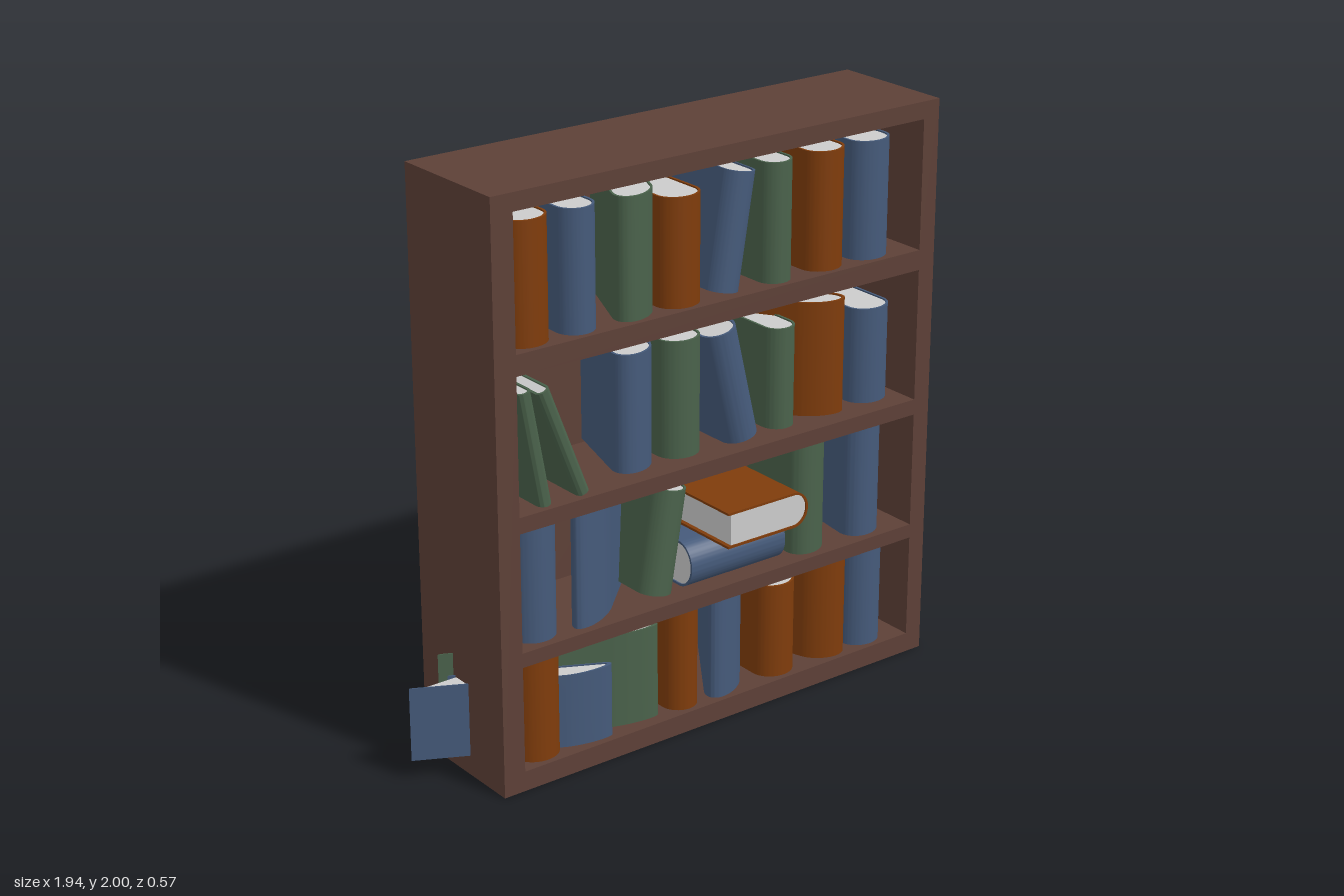
import * as THREE from 'three';
import { toCreasedNormals } from 'three/addons/utils/BufferGeometryUtils.js';

const material = (color) => new THREE.MeshStandardMaterial({ color, side: THREE.DoubleSide });
const wood = material(0x5d4037);
const paper = material(0xcccccc);
const cloth = { orange: material(0x7f3c0b), blue: material(0x455a7a), green: material(0x4a624b) };

// Extrudes a plan outline upward; lean slides the fore-edge sideways.
function upright(shape, height, lean, depth) {
  const geo = new THREE.ExtrudeGeometry(shape, { depth: height, bevelEnabled: false, curveSegments: 20 });
  geo.rotateX(-Math.PI / 2);
  const p = geo.attributes.position;
  for (let i = 0; i < p.count; i++) p.setX(i, p.getX(i) - p.getZ(i) * lean / depth);
  return toCreasedNormals(geo, 0.6);
}

// Book with round spine facing +z; origin at the bottom centre of the spine.
function book(color, w, h, { d = 0.34, bulge = Math.min(0.07, w / 2), lean = 0 } = {}) {
  const t = Math.min(0.008, w / 6);
  const group = new THREE.Group();
  group.name = 'book';

  const cover = new THREE.Shape();
  cover.moveTo(-w / 2, d);
  cover.lineTo(-w / 2, bulge);
  cover.absellipse(0, bulge, w / 2, bulge, Math.PI, 2 * Math.PI, false);
  cover.lineTo(w / 2, d);
  cover.lineTo(w / 2 - t, d);
  cover.lineTo(w / 2 - t, bulge);
  cover.absellipse(0, bulge, w / 2 - t, bulge - t, 2 * Math.PI, Math.PI, true);
  cover.lineTo(-w / 2 + t, d);
  const coverMesh = new THREE.Mesh(upright(cover, h, lean, d), cloth[color]);
  coverMesh.name = 'cover';

  const pages = new THREE.Shape();
  pages.moveTo(-w / 2 + t, d - 0.015);
  pages.lineTo(-w / 2 + t, bulge);
  pages.absellipse(0, bulge, w / 2 - t, bulge - t, Math.PI, 2 * Math.PI, false);
  pages.lineTo(w / 2 - t, d - 0.015);
  const pagesMesh = new THREE.Mesh(upright(pages, h - 0.01, lean, d), paper);
  pagesMesh.name = 'pages';
  pagesMesh.position.y = 0.005;

  group.add(coverMesh, pagesMesh);
  return group;
}

function rect(path, x0, x1, y0, y1) {
  path.moveTo(x0, y0);
  path.lineTo(x1, y0);
  path.lineTo(x1, y1);
  path.lineTo(x0, y1);
  path.closePath();
  return path;
}

function bookcase() {
  const group = new THREE.Group();
  group.name = 'bookcase';
  // Frame with four shelf openings
  const frame = rect(new THREE.Shape(), -0.805, 0.97, 0, 2);
  for (const [y0, y1] of [[0.07, 0.44], [0.49, 0.9], [0.955, 1.42], [1.49, 1.94]])
    frame.holes.push(rect(new THREE.Path(), -0.725, 0.905, y0, y1));
  const frameMesh = new THREE.Mesh(
    new THREE.ExtrudeGeometry(frame, { depth: 0.38, bevelEnabled: false }), wood);
  frameMesh.position.z = -0.205;
  frameMesh.name = 'frameAndShelves';
  // Back panel
  const back = new THREE.Mesh(new THREE.BoxGeometry(1.775, 2, 0.08), wood);
  back.position.set(0.0825, 1, -0.245);
  back.name = 'backPanel';
  group.add(frameMesh, back);
  return group;
}

export function createModel() {
  const model = new THREE.Group();
  model.name = 'filledBookcase';
  model.add(bookcase());

  // Standing books: colour, spine left, spine right, bottom, top, slide of the fore-edge
  const standing = [
    ['orange', -0.715, -0.555, 1.49, 1.895, 0],
    ['blue', -0.515, -0.38, 1.49, 1.895, 0],
    ['green', -0.33, -0.175, 1.49, 1.895, 0.145],
    ['orange', -0.13, 0.03, 1.49, 1.855, 0],
    ['green', 0.275, 0.395, 1.49, 1.895, 0],
    ['orange', 0.465, 0.62, 1.49, 1.895, 0],
    ['blue', 0.655, 0.815, 1.49, 1.895, 0],
    ['blue', -0.33, -0.175, 0.98, 1.38, 0.1],
    ['green', -0.125, 0.03, 0.98, 1.38, 0],
    ['green', 0.3, 0.415, 0.98, 1.33, 0],
    ['orange', 0.495, 0.65, 0.98, 1.38, -0.23],
    ['blue', 0.67, 0.83, 0.98, 1.315, 0],
    ['blue', -0.7, -0.545, 0.495, 0.895, 0],
    ['blue', -0.54, -0.385, 0.495, 0.895, 0.355],
    ['green', 0.4, 0.555, 0.495, 0.895, 0.07],
    ['blue', 0.65, 0.805, 0.495, 0.895, 0.045],
    ['orange', -0.7, -0.54, 0.07, 0.43, 0],
    ['orange', -0.11, 0.02, 0.07, 0.43, 0],
    ['blue', 0.022, 0.177, 0.07, 0.43, 0.235],
    ['orange', 0.285, 0.44, 0.07, 0.41, 0],
    ['orange', 0.52, 0.675, 0.07, 0.43, -0.11],
    ['blue', 0.677, 0.83, 0.07, 0.43, 0],
  ];
  for (const [color, x0, x1, y0, y1, lean] of standing) {
    const b = book(color, x1 - x0, y1 - y0, { lean });
    b.position.set((x0 + x1) / 2, y0, 0.155);
    model.add(b);
  }

  // Two slanted books whose fore-edges pass through the side wall
  const poking = [
    ['blue', -0.47, -0.315, 0.07, 0.33, -0.505, 0.15, -0.105],
    ['green', -0.265, -0.11, 0.055, 0.405, -0.585, 0.13, -0.125],
  ];
  for (const [color, x0, x1, y0, y1, lean, front, rear] of poking) {
    const b = book(color, x1 - x0, y1 - y0, { lean, d: front - rear, bulge: 0.03 });
    b.position.set((x0 + x1) / 2, y0, front);
    b.name = 'slantedBook';
    model.add(b);
  }

  // Tilted books: colour, bottom centre x and y, width, height, tilt
  const tilted = [
    ['blue', 0.118, 1.5, 0.12, 0.395, -0.165],
    ['green', -0.605, 0.955, 0.052, 0.4, 0.18],
    ['green', -0.46, 0.96, 0.05, 0.405, 0.37],
    ['blue', 0.2, 0.98, 0.13, 0.4, 0.235],
    ['green', -0.153, 0.515, 0.125, 0.362, -0.17],
  ];
  for (const [color, x, y, w, h, tilt] of tilted) {
    const b = book(color, w, h);
    b.position.set(x, y, 0.155);
    b.rotation.z = tilt;
    b.name = 'tiltedBook';
    model.add(b);
  }

  // Two books lying flat, the upper one jutting out
  const lower = book('blue', 0.16, 0.395);
  lower.position.set(-0.04, 0.578, 0.16);
  lower.rotation.z = -Math.PI / 2;
  lower.name = 'lowerLyingBook';
  const upper = book('orange', 0.125, 0.4, { d: 0.335, bulge: 0.06 });
  upper.position.set(0.345, 0.747, -0.115);
  upper.rotation.set(Math.PI / 2, Math.PI / 2, 0);
  upper.name = 'upperLyingBook';
  model.add(lower, upper);

  return model;
}
